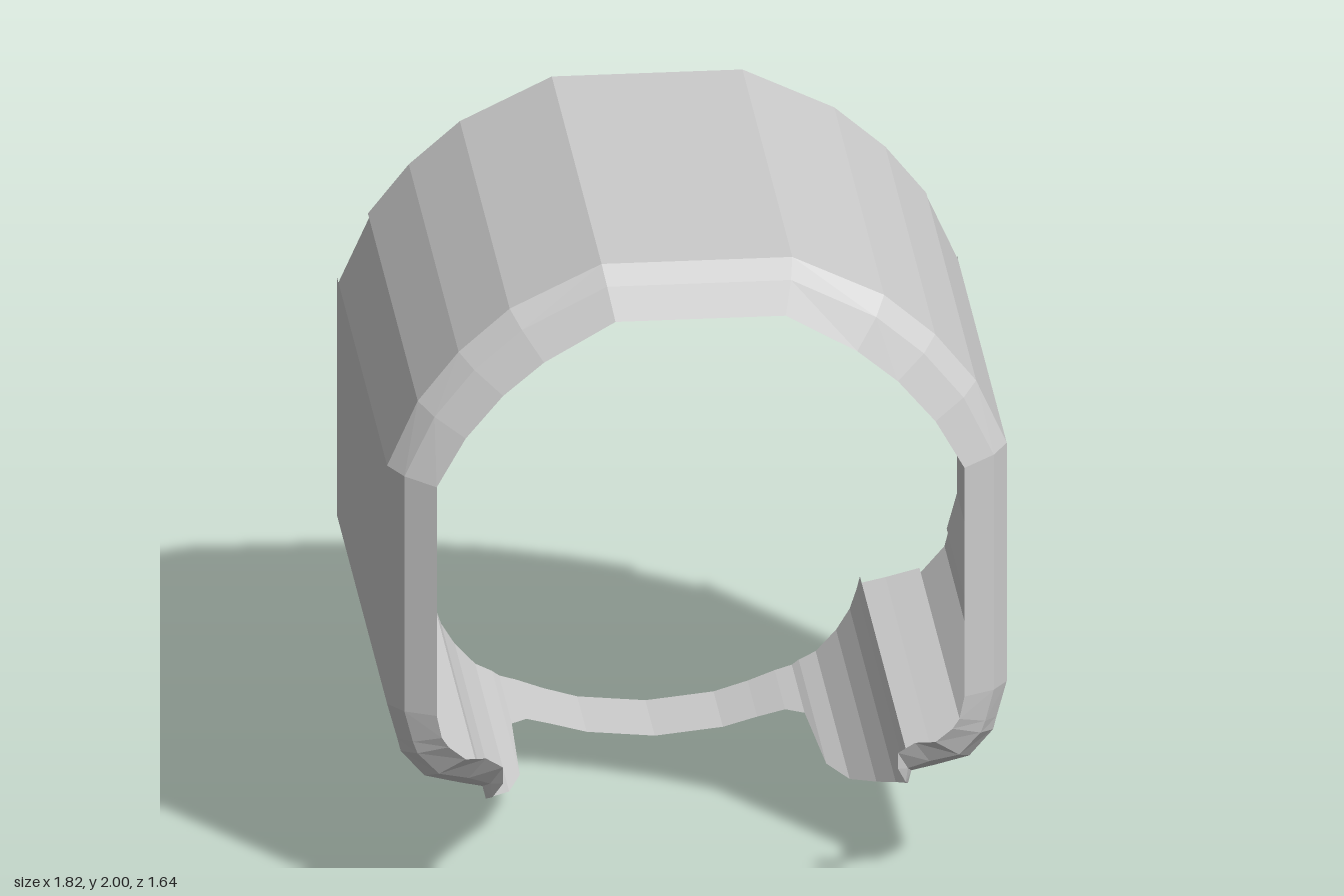
import * as THREE from 'three';

// Half cross-section of the hood: outer x, y, then rolled-in front rim x, y
const hood = [
  [0, 2, 0, 1.86], [0.28, 2, 0.25, 1.86], [0.55, 1.87, 0.46, 1.74], [0.7, 1.74, 0.58, 1.64],
  [0.82, 1.59, 0.69, 1.51], [0.91, 1.39, 0.775, 1.36], [0.91, 0.64, 0.775, 0.64],
  [0.88, 0.53, 0.76, 0.57], [0.87, 0.49, 0.74, 0.54], [0.8, 0.41, 0.69, 0.5],
  [0.7, 0.385, 0.63, 0.5], [0.63, 0.37, 0.58, 0.47], [0.62, 0.33, 0.58, 0.42],
];
const HOOD_END = 11;            // last hood point, where the lower panel starts
const NOTCHED = [4, 7, 8];      // segments cut short at the back

// Lower panel: x, y and the z where its front edge is cut
const panel = [
  [0.63, 0.37, 0.71], [0.62, 0.33, 0.71], [0.6, 0.27, 0.55], [0.56, 0.205, 0.38],
  [0.5, 0.14, 0.19], [0.45, 0.115, 0], [0.43, 0.1, -0.44], [0.38, 0.085, -0.51],
  [0.3, 0.055, -0.535], [0.2, 0.025, -0.54], [0, 0.005, -0.54],
];

const material = new THREE.MeshStandardMaterial({
  color: 0xcccccc, flatShading: true, side: THREE.DoubleSide,
});

// Collects quads into one flat-shaded mesh, mirrored to the given side
function quadMesh(name, side, quads) {
  const pos = [];
  for (const [a, b, c, d] of quads) {
    const order = side > 0 ? [a, b, c, a, c, d] : [a, c, b, a, d, c];
    for (const p of order) pos.push(p[0] * side, p[1], p[2]);
  }
  const geo = new THREE.BufferGeometry();
  geo.setAttribute('position', new THREE.Float32BufferAttribute(pos, 3));
  geo.computeVertexNormals();
  const mesh = new THREE.Mesh(geo, material);
  mesh.name = name;
  return mesh;
}

// Joins the neighbouring columns of points of two profile positions
function strip(quads, colA, colB) {
  for (let j = 0; j < colA.length - 1; j++) {
    quads.push([colA[j], colA[j + 1], colB[j + 1], colB[j]]);
  }
}

// Rounded front rim: three rings from the outer profile to the inner one
function rimColumn([x, y, ix, iy]) {
  return [[0, 0.71], [0.33, 0.775], [1, 0.82]].map(([t, z]) => [x + (ix - x) * t, y + (iy - y) * t, z]);
}

// One line along the hood; the right side has a dent pushed in at its lower corner
function hoodColumn(i, back, side) {
  const [x, y] = hood[i];
  return [0.71, -0.03, -0.3, -0.62, back].map((z) => {
    if (side < 0 && z === -0.3) {
      if (i === 7) return [0.82, 0.54, z];
      if (i === 8) return [0.77, 0.48, z];
    }
    return [x, y, z];
  });
}

function buildSide(side) {
  const group = new THREE.Group();
  group.name = side > 0 ? 'leftHalf' : 'rightHalf';
  const shell = [], rim = [], lower = [];

  for (let i = 0; i < HOOD_END; i++) {
    const back = NOTCHED.includes(i) ? -0.735 : -0.77;
    strip(shell, hoodColumn(i, back, side), hoodColumn(i + 1, back, side));
  }
  for (let i = 0; i < hood.length - 1; i++) strip(rim, rimColumn(hood[i]), rimColumn(hood[i + 1]));
  for (let i = 0; i < panel.length - 1; i++) {
    const [a, b] = [panel[i], panel[i + 1]].map(([x, y, z]) => [[x, y, z], [x, y, -0.82]]);
    strip(lower, a, b);
  }

  group.add(quadMesh('hoodShell', side, shell));
  group.add(quadMesh('frontRim', side, rim));
  group.add(quadMesh('lowerPanel', side, lower));
  return group;
}

export function createModel() {
  const model = new THREE.Group();
  model.name = 'cowling';
  for (const side of [1, -1]) model.add(buildSide(side));
  return model;
}
